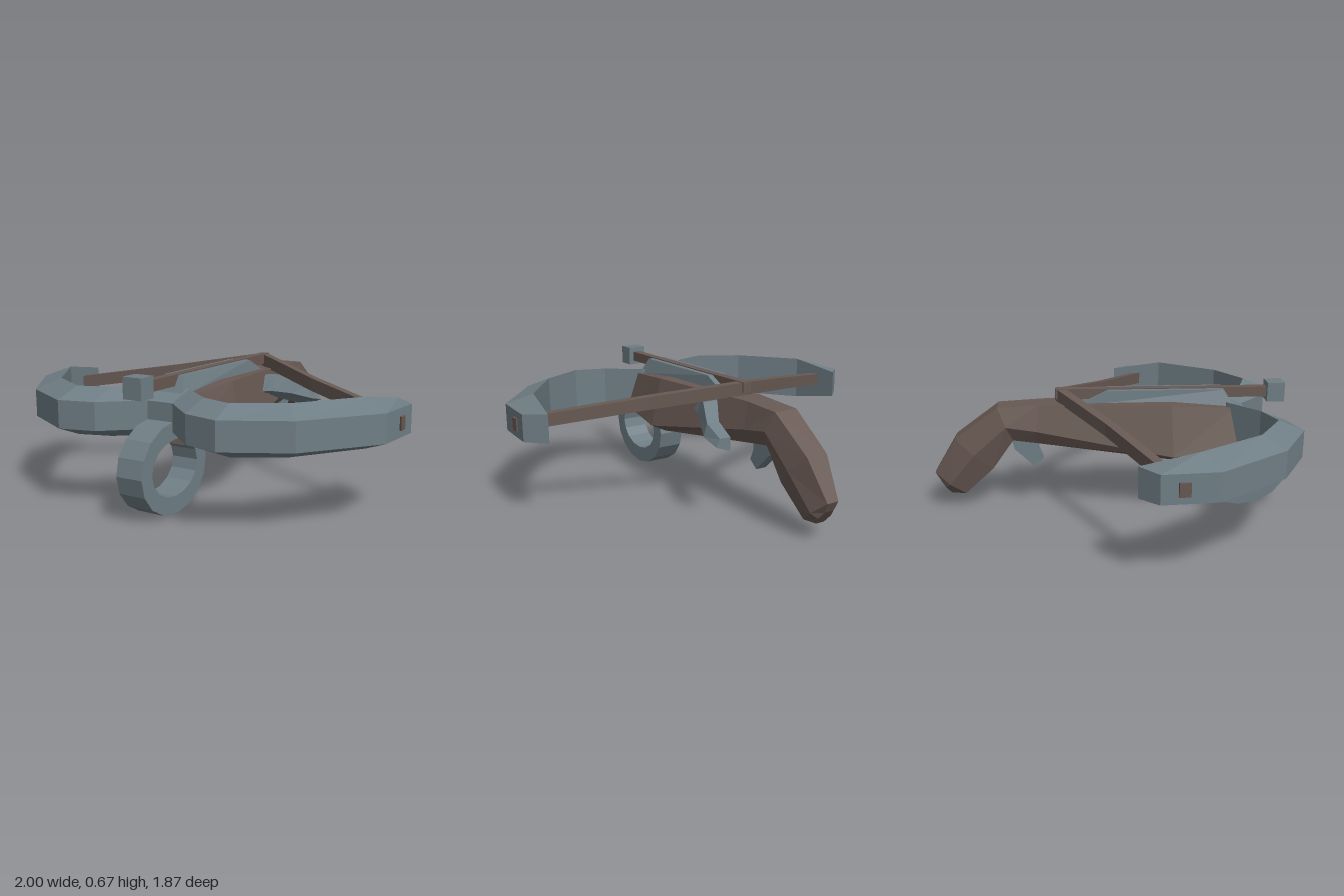
import * as THREE from 'three';

const steel = new THREE.MeshStandardMaterial({ color: 0x6f7e85, flatShading: true });
steel.name = 'blue grey steel';
const wood = new THREE.MeshStandardMaterial({ color: 0x685953, flatShading: true });
wood.name = 'dark brown wood';

// Skin a list of convex corner rings and cap both ends, faces turned outward
function loft(rings) {
  const n = rings[0].length, tris = [];
  for (let i = 0; i + 1 < rings.length; i++) {
    for (let j = 0; j < n; j++) {
      const k = (j + 1) % n;
      const [a, b, c, d] = [rings[i][j], rings[i][k], rings[i + 1][k], rings[i + 1][j]];
      tris.push([a, b, c], [a, c, d]);
    }
  }
  const first = rings[0], last = rings[rings.length - 1];
  for (let j = 1; j + 1 < n; j++) {
    tris.push([first[0], first[j + 1], first[j]], [last[0], last[j], last[j + 1]]);
  }
  const v = (p) => new THREE.Vector3(...p);
  const volume = tris.reduce((s, [a, b, c]) => s + v(a).dot(v(b).cross(v(c))), 0);
  if (volume < 0) tris.forEach((t) => t.reverse());
  const geo = new THREE.BufferGeometry();
  geo.setAttribute('position', new THREE.Float32BufferAttribute(tris.flat(2), 3));
  geo.computeVertexNormals();
  return geo;
}

// Complete a path from x = 0 outward into a left-right symmetric one
const mirrorRings = (half) => [
  ...half.slice(1).reverse().map((r) => r.map(([x, y, z]) => [-x, y, z])),
  ...half,
];

export function createModel() {
  const model = new THREE.Group();
  const add = (name, geo, mat) => {
    const mesh = new THREE.Mesh(geo, mat);
    mesh.name = name;
    model.add(mesh);
    return mesh;
  };
  const box = (name, mat, [w, h, d], [x, y, z]) =>
    add(name, new THREE.BoxGeometry(w, h, d), mat).position.set(x, y, z);

  // Stock and grip: top z, top y, bottom z, bottom y, half width, top ratio, bottom ratio, height of widest edge
  const stock = [
    [0.62, 0.55, 0.67, 0.33, 0.155, 0.7, 0.7, 0.12],
    [0.30, 0.575, 0.31, 0.275, 0.20, 0.72, 0.55, 0.14],
    [-0.38, 0.567, -0.40, 0.36, 0.095, 0.7, 0.55, 0.35],
    [-0.59, 0.555, -0.515, 0.375, 0.092, 0.7, 0.55, 0.45],
    [-0.815, 0.39, -0.625, 0.22, 0.09, 0.65, 0.55, 0.5],
    [-0.93, 0.20, -0.775, 0.08, 0.065, 0.5, 0.55, 0.5],
    [-0.905, 0.15, -0.85, 0.08, 0.04, 0.6, 0.6, 0.5],
  ].map(([tz, ty, bz, by, w, tr, br, f]) => {
    const my = by + (ty - by) * f, mz = bz + (tz - bz) * f;
    return [
      [w * tr, ty, tz], [-w * tr, ty, tz], [-w, my, mz],
      [-w * br, by, bz], [w * br, by, bz], [w, my, mz],
    ];
  });
  add('stock', loft(stock), wood);

  // Bow: outer x, z, inner x, z, inner bottom and top height
  const bow = [
    [0, 0.70, 0, 0.59, 0.34, 0.575],
    [0.07, 0.70, 0.09, 0.59, 0.34, 0.575],
    [0.25, 0.86, 0.26, 0.73, 0.34, 0.575],
    [0.43, 0.905, 0.42, 0.78, 0.34, 0.575],
    [0.72, 0.75, 0.64, 0.65, 0.34, 0.575],
    [0.98, 0.41, 0.86, 0.34, 0.34, 0.575],
    [1.0, 0.15, 0.905, 0.065, 0.385, 0.53],
  ].map(([ox, oz, ix, iz, b, t]) => [
    [ox, 0.39, oz], [ox, 0.525, oz], [ix, t, iz], [ix, b, iz],
  ]);
  add('bow', loft(mirrorRings(bow)), steel);

  // Drawn string
  const string = [[0, 0.607, -0.268], [0.42, 0.54, -0.025], [1.0, 0.455, 0.255]].map(([x, y, z]) => [
    [x, y - 0.032, z - 0.025], [x, y + 0.032, z - 0.025],
    [x, y + 0.032, z + 0.025], [x, y - 0.032, z + 0.025],
  ]);
  add('string', loft(mirrorRings(string)), wood);

  // Guide rail, tapered toward its top
  const rail = [[0.635, 0.58, 0.08, 0.545], [-0.02, -0.17, 0.055, 0.555]].map(([bz, tz, w, y], i) => [
    [-w, y, i ? -0.18 : bz], [w, y, i ? -0.18 : bz],
    [0.052, 0.634, i ? bz : tz], [-0.052, 0.634, i ? bz : tz],
  ]);
  add('rail', loft(rail), steel);

  // Bolt lying on the rail
  box('boltShaft', wood, [0.045, 0.053, 1.12], [0, 0.612, 0.27]);
  box('boltHead', steel, [0.1, 0.1, 0.09], [0, 0.615, 0.855]);

  // Foot stirrup ring
  const oval = (rz, ry) => Array.from({ length: 16 }, (_, i) => {
    const a = (i / 16) * Math.PI * 2;
    return new THREE.Vector2(Math.cos(a) * rz, Math.sin(a) * ry);
  });
  const ring = new THREE.Shape(oval(0.255, 0.22));
  ring.holes.push(new THREE.Path(oval(0.178, 0.135)));
  const ringGeo = new THREE.ExtrudeGeometry(ring, { depth: 0.14, bevelEnabled: false });
  ringGeo.translate(0, 0, -0.07).rotateY(Math.PI / 2);
  add('stirrup', ringGeo, steel).position.set(0, 0.22, 0.683);

  // Side lever: z, bottom y, top y, inner x, outer x
  const lever = [
    [-0.03, 0.445, 0.47, 0.06, 0.145],
    [-0.10, 0.435, 0.55, 0.08, 0.165],
    [-0.19, 0.415, 0.54, 0.11, 0.215],
    [-0.31, 0.375, 0.47, 0.185, 0.275],
    [-0.425, 0.35, 0.42, 0.20, 0.28],
  ].map(([z, b, t, i, o]) => [[i, b, z], [o, b + 0.03, z], [o - 0.02, t, z], [i, t, z]]);
  add('lever', loft(lever), steel);

  // Trigger
  const trigger = [
    [-0.39, -0.53, 0.40, 0.40],
    [-0.385, -0.51, 0.32, 0.32],
    [-0.36, -0.41, 0.265, 0.225],
  ].map(([fz, bz, fy, by]) => [
    [-0.03, fy, fz], [0.03, fy, fz], [0.03, by, bz], [-0.03, by, bz],
  ]);
  add('trigger', loft(trigger), steel);

  return model;
}
